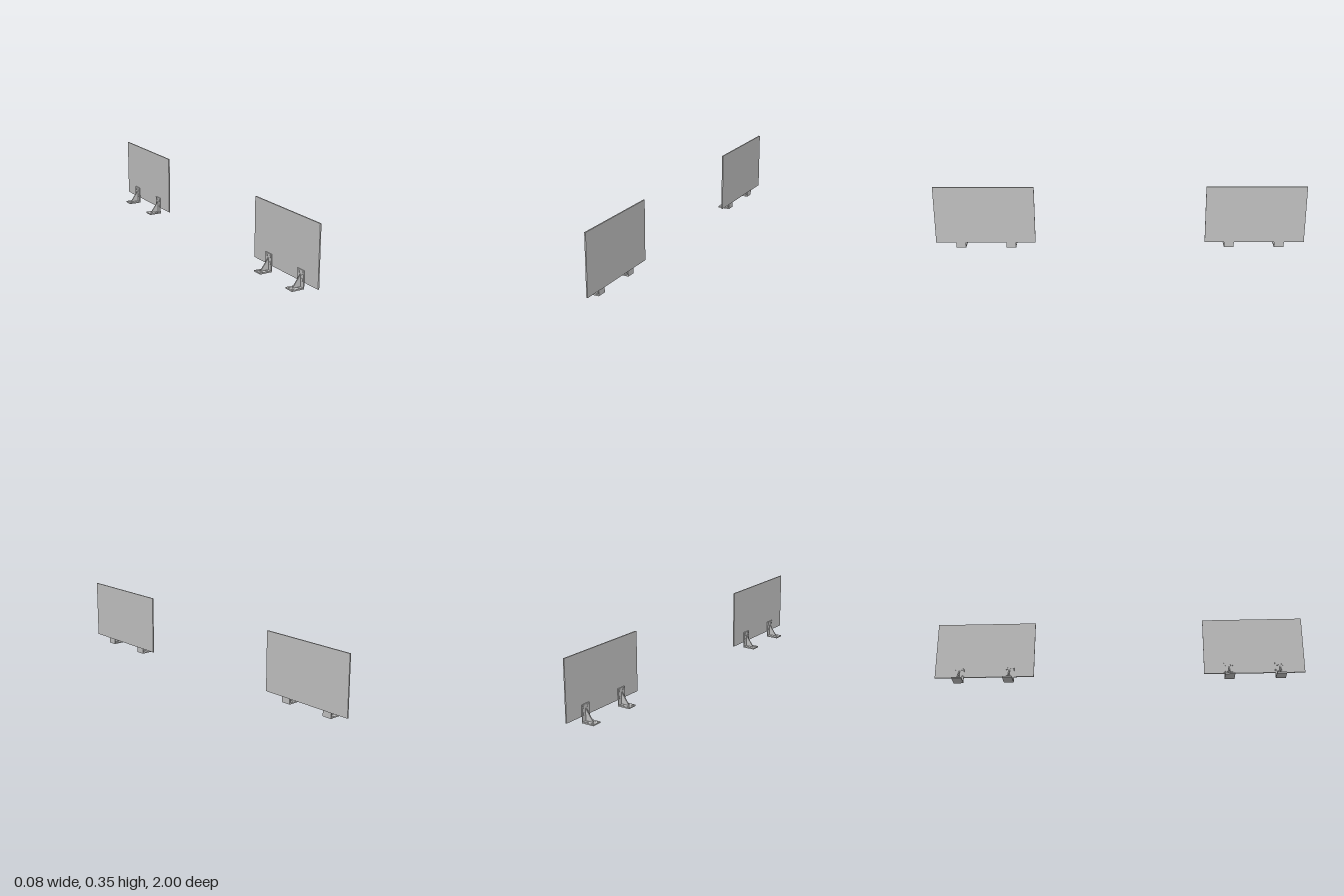
import * as THREE from 'three';

const grey = new THREE.MeshStandardMaterial({ color: 0xc0c0c0 });
grey.name = 'light grey';

function part(name, geometry, x, y, z) {
  const mesh = new THREE.Mesh(geometry, grey);
  mesh.name = name;
  mesh.position.set(x, y, z);
  return mesh;
}

// L-shaped foot with a triangular rib and low screw heads
function createBracket() {
  const bracket = new THREE.Group();
  bracket.name = 'bracket';
  const width = 0.053;
  bracket.add(part('basePlate', new THREE.BoxGeometry(0.07, 0.007, width), -0.004, 0.0035, 0));
  bracket.add(part('uprightPlate', new THREE.BoxGeometry(0.005, 0.086, width), 0.0285, 0.05, 0));

  // Central rib
  const thickness = 0.006;
  const triangle = new THREE.Shape([
    new THREE.Vector2(-0.02, 0.007),
    new THREE.Vector2(0.026, 0.007),
    new THREE.Vector2(0.026, 0.07),
  ]);
  const rib = new THREE.ExtrudeGeometry(triangle, { depth: thickness, bevelEnabled: false });
  bracket.add(part('rib', rib, 0, 0, -thickness / 2));

  // Screw heads on both plates, either side of the rib
  const head = new THREE.CylinderGeometry(0.007, 0.0075, 0.002, 16);
  for (const z of [-0.0145, 0.0145]) {
    for (const x of [-0.0245, 0.01]) bracket.add(part('baseScrew', head, x, 0.0078, z));
    for (const y of [0.045, 0.08]) {
      const screw = part('uprightScrew', head, 0.0252, y, z);
      screw.rotation.z = Math.PI / 2;
      bracket.add(screw);
    }
  }
  return bracket;
}

// Upright board standing on two brackets
function createScreen() {
  const screen = new THREE.Group();
  screen.name = 'screen';
  screen.add(part('panel', new THREE.BoxGeometry(0.007, 0.32, 0.54), 0.0345, 0.193, 0));
  for (const z of [-0.1365, 0.1365]) {
    const bracket = createBracket();
    bracket.position.z = z;
    screen.add(bracket);
  }
  return screen;
}

export function createModel() {
  const model = new THREE.Group();
  model.name = 'screenPair';
  for (const z of [-0.73, 0.73]) {
    const screen = createScreen();
    screen.position.z = z;
    model.add(screen);
  }
  return model;
}
